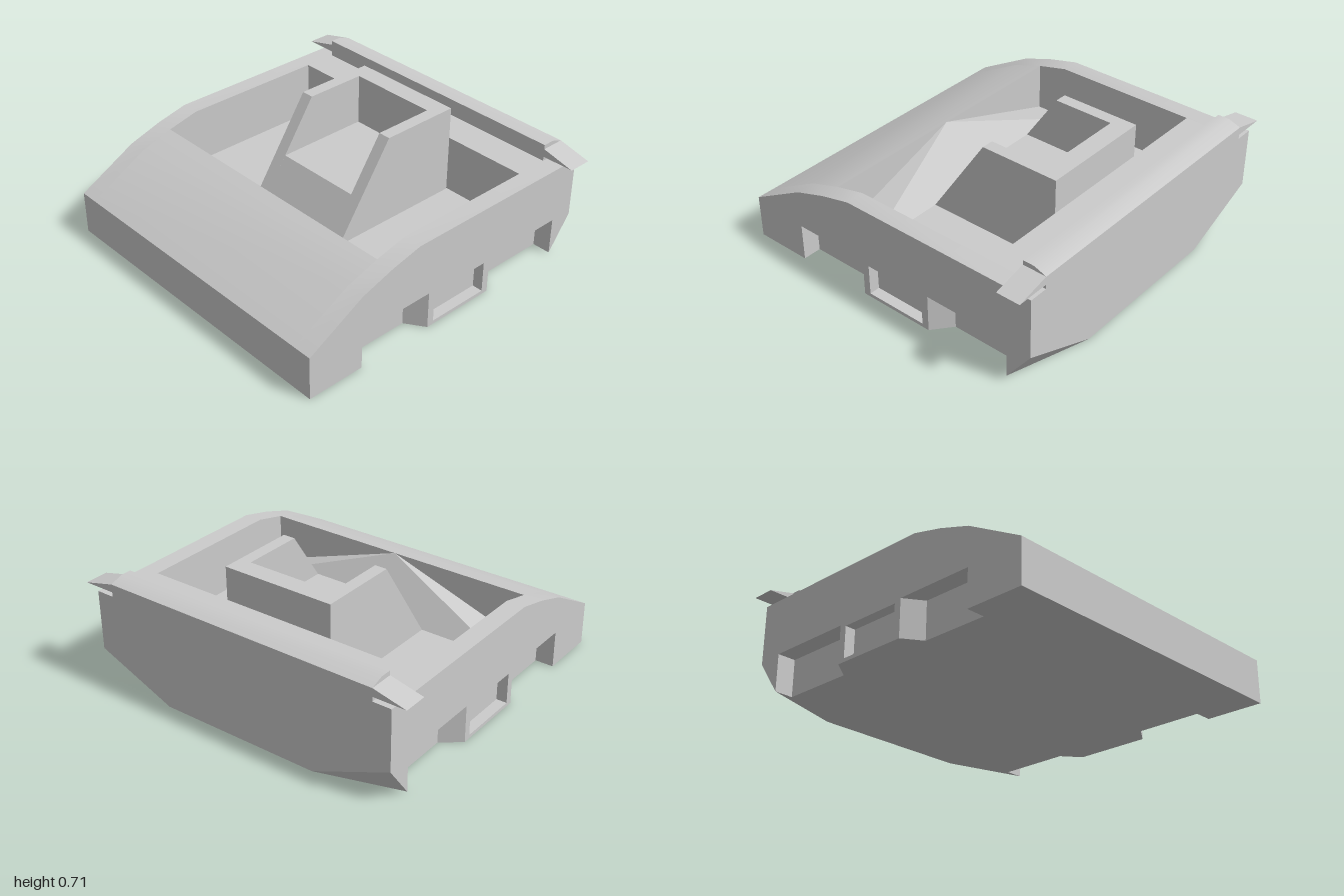
import * as THREE from 'three';
import { toCreasedNormals } from 'three/addons/utils/BufferGeometryUtils.js';
import { ConvexGeometry } from 'three/addons/geometries/ConvexGeometry.js';

const material = new THREE.MeshStandardMaterial({ color: 0xcccccc });
const shapeOf = (pts) => new THREE.Shape(pts.map(([a, b]) => new THREE.Vector2(a, b)));

// side profile [z, y] extruded across x from x0 to x1
function acrossX(profile, x0, x1) {
  const g = new THREE.ExtrudeGeometry(shapeOf(profile), { depth: x1 - x0, bevelEnabled: false });
  g.rotateY(-Math.PI / 2).translate(x1, 0, 0);
  return toCreasedNormals(g, 0.4);
}

// plan outline [x, z] extruded upwards from y0 to y1
function upY(plan, y0, y1) {
  const g = new THREE.ExtrudeGeometry(shapeOf(plan.map(([x, z]) => [x, -z])), { depth: y1 - y0, bevelEnabled: false });
  return g.rotateX(-Math.PI / 2).translate(0, y0, 0);
}

const hull = (pts) => new ConvexGeometry(pts.map((p) => new THREE.Vector3(...p)));

export function createModel() {
  const model = new THREE.Group();
  const add = (name, geometry) => {
    const mesh = new THREE.Mesh(geometry, material);
    mesh.name = name;
    model.add(mesh);
  };

  const W = 0.92, P = 0.815, FLOOR = 0.21, TOP = 0.53;

  // lower hull in three layers: side notches, chamfered side block, recess in the middle layer
  const basePlan = (recessed) => {
    const half = [
      [W, 0.93], [W, 0.6], [P, 0.6], [P, 0.22], [W, 0.15],
      ...(recessed ? [[W, 0.11], [0.86, 0.11], [0.86, -0.25], [W, -0.25]] : []),
      [W, -0.29], [P, -0.375], [P, -0.79],
    ];
    return [...half, ...half.map(([x, z]) => [-x, z]).reverse()];
  };
  add('lowerHullBottom', upY(basePlan(false), 0, 0.02));
  add('lowerHullMiddle', upY(basePlan(true), 0.02, 0.195));
  add('lowerHullTop', upY(basePlan(false), 0.195, FLOOR));

  // tail with both lower corners cut away
  const tail = [];
  for (const s of [-1, 1]) {
    tail.push([s * W, 0, -0.79], [s * W, FLOOR, -0.79], [s * W, FLOOR, -0.93], [s * W, 0.19, -0.93], [s * 0.465, 0, -0.93]);
  }
  add('tail', hull(tail));

  // upper hull around the sunken well
  const nose = [[0.93, FLOOR], [0.93, 0.245], [0.6, 0.425], [0.41, 0.487]];
  const rail = [...nose, [0.23, TOP], [-0.93, TOP], [-0.93, FLOOR]];
  add('leftRail', acrossX(rail, P, W));
  add('rightRail', acrossX(rail, -W, -P));
  add('nose', acrossX([...nose, [0.41, FLOOR]], -P, P));
  add('rearDeck', acrossX([[-0.605, FLOOR], [-0.605, TOP], [-0.93, TOP], [-0.93, FLOOR]], -P, P));

  // pointed ramp at the front of the well
  add('wellRamp', hull([
    [-P, FLOOR, 0.2], [P, FLOOR, 0.2], [0, 0.487, 0.41], [-P, FLOOR, 0.41], [P, FLOOR, 0.41],
  ]));

  // open cabin: sloping side walls, back wall and raised floor
  const cabinSide = [[0.2, FLOOR], [-0.14, 0.715], [-0.6, 0.715], [-0.6, FLOOR]];
  add('cabinLeftWall', acrossX(cabinSide, 0.26, 0.33));
  add('cabinRightWall', acrossX(cabinSide, -0.33, -0.26));
  add('cabinBackWall', acrossX([[-0.49, FLOOR], [-0.49, 0.715], [-0.6, 0.715], [-0.6, FLOOR]], -0.26, 0.26));
  add('cabinFloor', acrossX([[0.2, FLOOR], [0.055, 0.425], [-0.49, 0.425], [-0.49, FLOOR]], -0.26, 0.26));

  // rear spoiler bar with pointed tips
  add('spoilerBar', acrossX([[-0.795, TOP], [-0.795, 0.625], [-0.86, 0.625], [-0.93, 0.6], [-0.93, TOP]], -P, P));
  for (const s of [-1, 1]) {
    const tip = [];
    for (const z of [-0.795, -0.93]) tip.push([s * P, 0.6, z], [s * P, 0.555, z], [s, 0.555, z]);
    add(s > 0 ? 'spoilerLeftTip' : 'spoilerRightTip', hull(tip));
  }
  return model;
}
